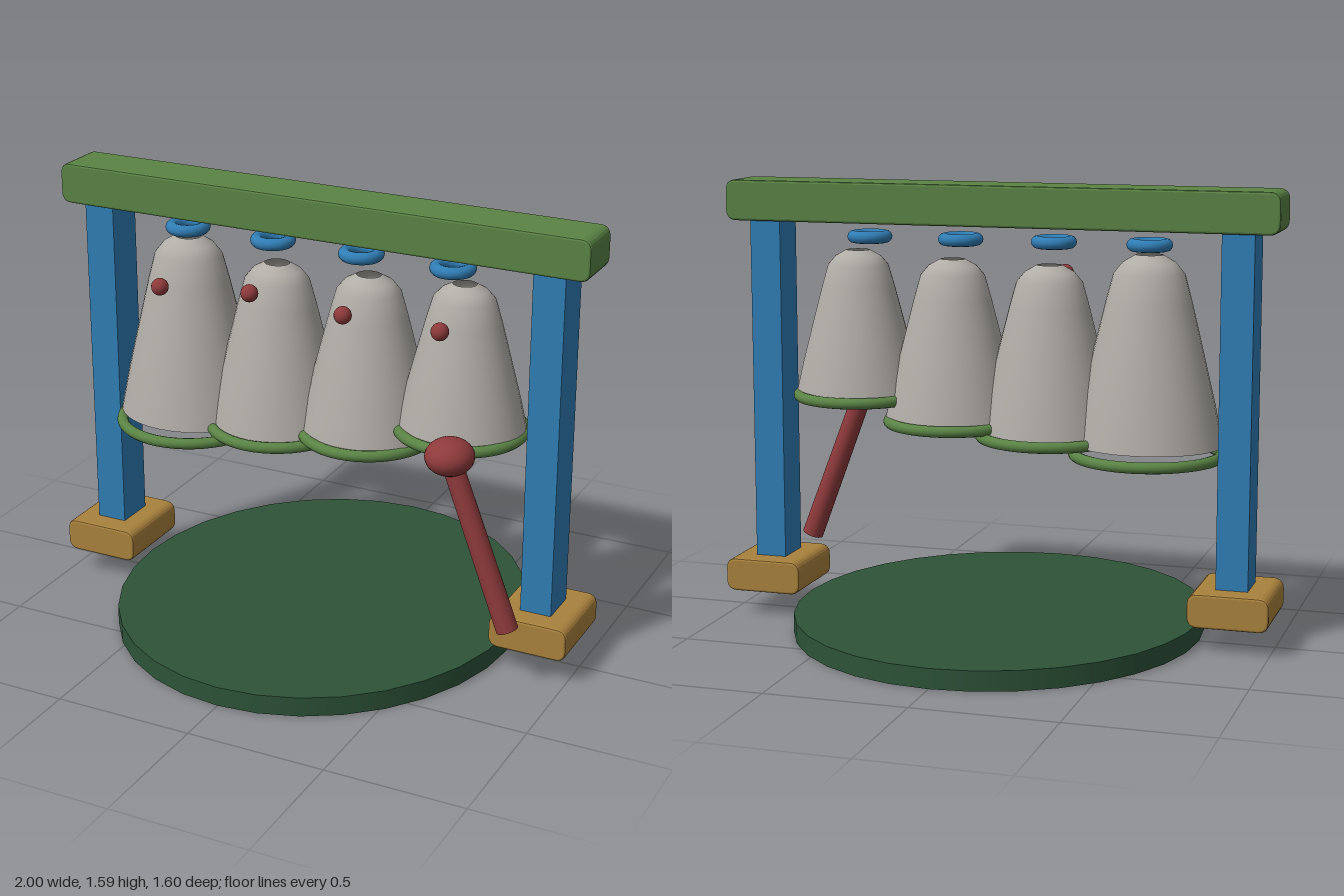
import * as THREE from 'three';

const mat = (name, color, side = THREE.FrontSide) => {
  const m = new THREE.MeshStandardMaterial({ color, side });
  m.name = name;
  return m;
};

// Block with rounded corners in the front outline and slightly eased front and back edges
function roundedBlock(w, h, d, r) {
  const e = 0.008, x = w / 2 - e, y = h / 2 - e;
  const s = new THREE.Shape();
  s.moveTo(-x + r, -y);
  s.lineTo(x - r, -y);
  s.quadraticCurveTo(x, -y, x, -y + r);
  s.lineTo(x, y - r);
  s.quadraticCurveTo(x, y, x - r, y);
  s.lineTo(-x + r, y);
  s.quadraticCurveTo(-x, y, -x, y - r);
  s.lineTo(-x, -y + r);
  s.quadraticCurveTo(-x, -y, -x + r, -y);
  const g = new THREE.ExtrudeGeometry(s, {
    depth: d - 2 * e, bevelEnabled: true, bevelThickness: e, bevelSize: e, bevelSegments: 2, curveSegments: 6,
  });
  return g.translate(0, 0, -d / 2 + e);
}

function flatRing(outer, tube) {
  return new THREE.TorusGeometry(outer - tube, tube, 12, 48).rotateX(Math.PI / 2);
}

export function createModel() {
  const model = new THREE.Group();
  model.name = 'bellFrame';

  const green = mat('leaf green', 0x5a8345);
  const blue = mat('blue', 0x307db4);
  const ochre = mat('ochre', 0xa9823d);
  const darkGreen = mat('dark green', 0x2d5338);
  const grey = mat('bell grey', 0xb0aca6, THREE.DoubleSide);
  const red = mat('dark red', 0x8e3a3b);

  const add = (name, geometry, material, x, y, z, parent = model) => {
    const m = new THREE.Mesh(geometry, material);
    m.name = name;
    m.position.set(x, y, z);
    parent.add(m);
    return m;
  };

  // Oval base plate
  add('basePlate', new THREE.CylinderGeometry(0.8, 0.8, 0.07, 32), darkGreen, 0, 0.035, 0).scale.x = 0.73 / 0.8;

  // Frame: top beam, two posts and their feet
  add('topBeam', roundedBlock(2, 0.145, 0.188, 0.03), green, 0, 1.5125, 0);
  for (const [side, sign, bottom] of [['left', 1, 0.1], ['right', -1, 0.075]]) {
    const h = 1.445 - bottom;
    add(side + 'Post', new THREE.BoxGeometry(0.113, h, 0.15), blue, sign * 0.856, bottom + h / 2, 0);
    add(side + 'Foot', roundedBlock(0.285, 0.12, 0.314, 0.03), ochre, sign * 0.8575, 0.15, 0);
  }

  // Bells: profile as [radius, height] fractions, from rim to crown
  const profile = [[1, 0], [0.88, 0.23], [0.72, 0.5], [0.57, 0.75], [0.47, 0.9], [0.35, 0.96], [0.18, 1]];
  const bells = [
    { bottom: 0.695, top: 1.355, radius: 0.265, rimY: 0.66, rim: 0.276, studY: 1.226 },
    { bottom: 0.71, top: 1.308, radius: 0.25, rimY: 0.706, rim: 0.262, studY: 1.258 },
    { bottom: 0.75, top: 1.318, radius: 0.245, rimY: 0.739, rim: 0.25, studY: 1.236 },
    { bottom: 0.815, top: 1.34, radius: 0.232, rimY: 0.818, rim: 0.238, studY: 1.236 },
  ];
  bells.forEach((b, i) => {
    const group = new THREE.Group();
    group.name = 'bell' + (i + 1);
    model.add(group);
    const x = -0.535 + i * 0.355, h = b.top - b.bottom;
    const points = profile.map(([r, t]) => new THREE.Vector2(r * b.radius, t * h));
    const body = add('bellBody', new THREE.LatheGeometry(points, 32), grey, x, b.bottom, 0, group);
    body.scale.z = 0.88;
    add('bellRim', flatRing(b.rim, 0.02), green, x, b.rimY, 0, group);
    add('bellStud', new THREE.SphereGeometry(0.031, 16, 12), red, x, b.studY, 0.205, group);
    add('hangingRing', flatRing(0.08, 0.022), blue, -0.535 + i * 0.34, 1.388, 0, group);
  });

  // Mallet leaning in front of the last bell
  const mallet = new THREE.Group();
  mallet.name = 'mallet';
  model.add(mallet);
  const head = new THREE.Vector3(0.595, 0.82, 0.25), tip = new THREE.Vector3(0.822, 0.222, 0.25);
  const dir = head.clone().sub(tip), mid = head.clone().add(tip).multiplyScalar(0.5);
  add('malletHead', new THREE.SphereGeometry(1, 24, 16), red, head.x, head.y, head.z, mallet).scale.set(0.085, 0.064, 0.088);
  add('malletHandle', new THREE.CylinderGeometry(0.036, 0.039, dir.length(), 20), red, mid.x, mid.y, mid.z, mallet)
    .quaternion.setFromUnitVectors(new THREE.Vector3(0, 1, 0), dir.clone().normalize());

  return model;
}
